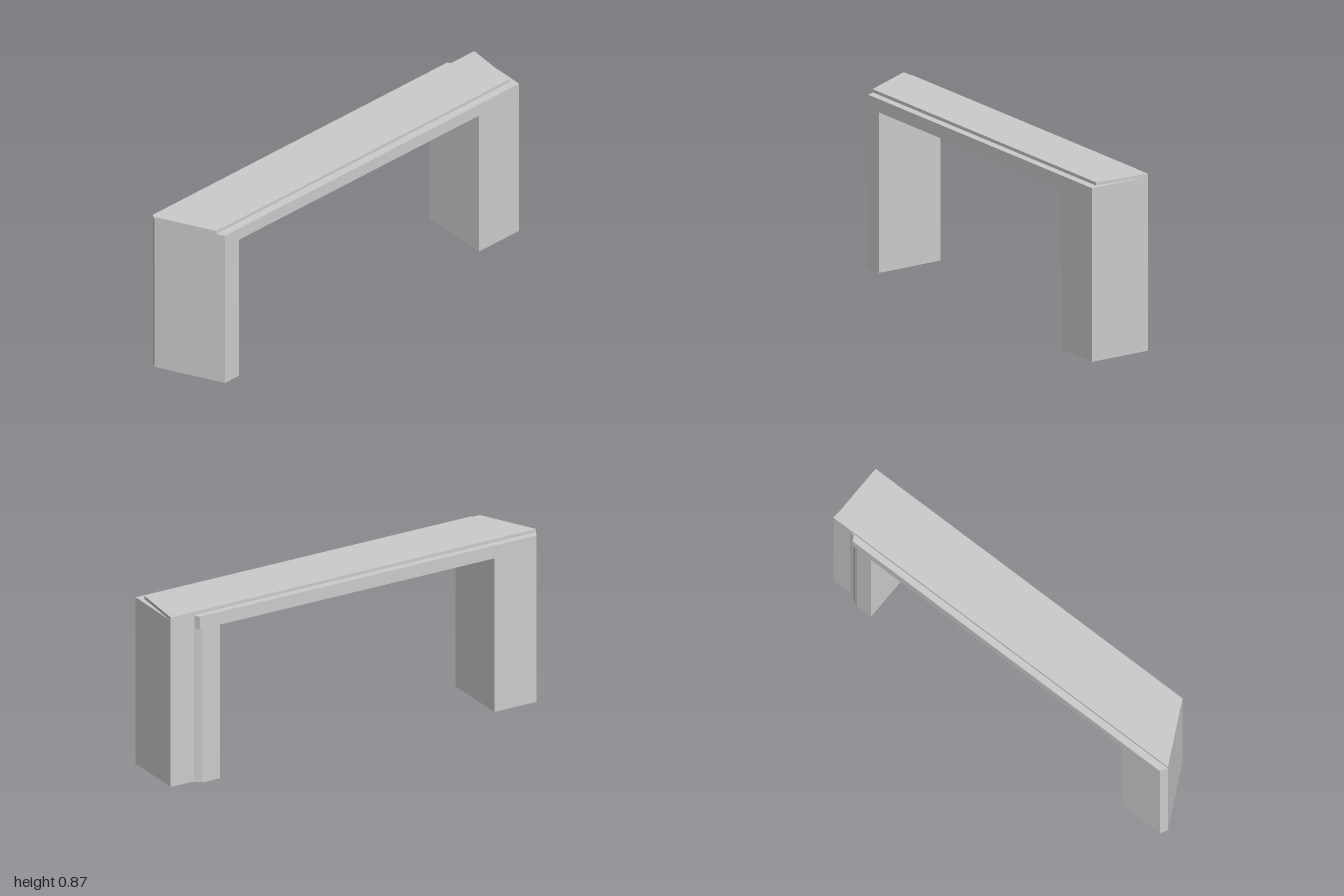
import * as THREE from 'three';

const material = new THREE.MeshStandardMaterial({ color: 0xcccccc, flatShading: true });

// Upright prism over a plan outline of [x, z] corners, from y0 to y1
function prism(name, plan, y0, y1) {
  const shape = new THREE.Shape(plan.map(([x, z]) => new THREE.Vector2(x, -z)));
  const geometry = new THREE.ExtrudeGeometry(shape, { depth: y1 - y0, bevelEnabled: false });
  geometry.rotateX(-Math.PI / 2).translate(0, y0, 0);
  const mesh = new THREE.Mesh(geometry, material);
  mesh.name = name;
  return mesh;
}

export function createModel() {
  const group = new THREE.Group();
  group.name = 'archway';
  const legTop = 0.785, beamTop = 0.85, slabTop = 0.866;
  const front = 0.175, back = -0.175, step = -0.143;

  // Mitred end shared by the right leg and the beam
  const mitre = [[-0.98, back], [-1, -0.14], [-0.838, front]];

  // Right leg with the slanted outer side
  group.add(prism('rightLeg', [[-0.75, back], ...mitre, [-0.75, front]], 0, legTop));

  // Left leg with a chamfered recess in the back corner
  group.add(prism('leftLeg', [
    [0.75, front], [1, front], [1, step], [0.9, step],
    [0.876, -0.147], [0.846, -0.172], [0.834, back], [0.75, back],
  ], 0, legTop));

  // Beam across both legs, its back strip stopping short of the left end
  group.add(prism('beam', [
    ...mitre, [1, front], [1, step], [0.9, step], [0.873, -0.148], [0.86, back],
  ], legTop, beamTop));

  // Thin slab set back from the front edge, with a slightly skewed left end
  group.add(prism('topSlab', [
    [-1, -0.14], [-0.858, 0.136], [0.975, 0.136], [1, step],
  ], beamTop, slabTop));

  return group;
}
